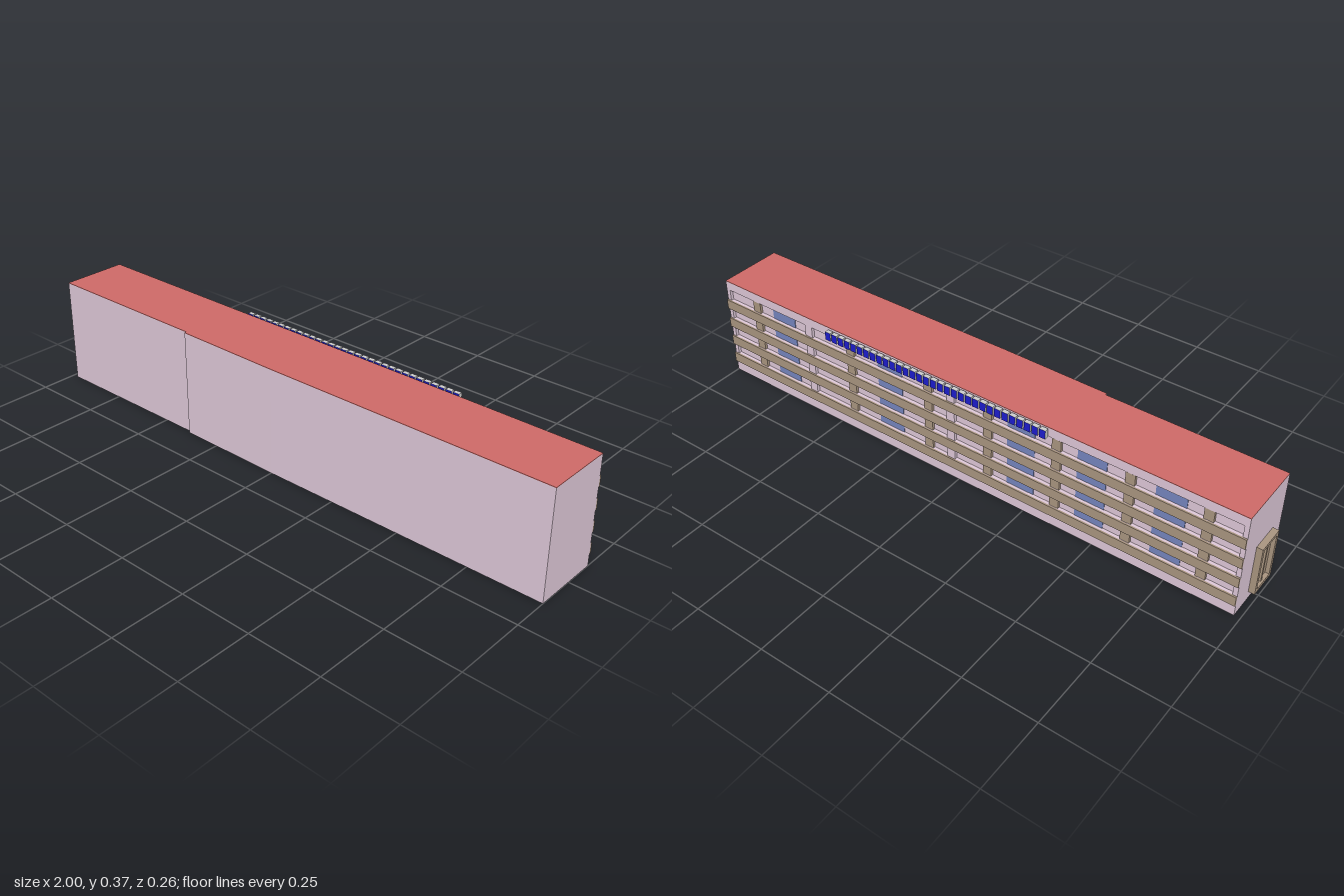
import * as THREE from 'three';

const mat = (color, side = THREE.FrontSide) => new THREE.MeshStandardMaterial({ color, side, flatShading: true });
const pink = mat(0xdcc6d6), red = mat(0xcc6966), brown = mat(0xa8947f);
const glass = mat(0x7484bc), blue = mat(0x1c1ccc), grey = mat(0xcccccc);

// Three building sections, each slightly out of line with the next
const BACK = [[-0.98, -0.112], [0.03, -0.11], [0.62, -0.107], [1, -0.104]];
const FRONT = [[1, 0.129], [0, 0.133], [-0.38, 0.129], [-0.38, 0.121], [-0.98, 0.12]];
const RECESS = 0.011;
const FLOOR = 0.0735;

// z of the rear facade at a given x
function backZ(x) {
  for (let i = 0; i < BACK.length - 1; i++) {
    const [x0, z0] = BACK[i], [x1, z1] = BACK[i + 1];
    if (x <= x1) return z0 + (z1 - z0) * (x - x0) / (x1 - x0);
  }
  return BACK[BACK.length - 1][1];
}

function add(parent, name, geometry, material) {
  const mesh = new THREE.Mesh(geometry, material);
  mesh.name = name;
  parent.add(mesh);
  return mesh;
}

function box(parent, name, material, x0, x1, y0, y1, z0, z1) {
  const g = new THREE.BoxGeometry(x1 - x0, y1 - y0, z1 - z0);
  g.translate((x0 + x1) / 2, (y0 + y1) / 2, (z0 + z1) / 2);
  return add(parent, name, g, material);
}

// Box that follows the rear facade; z0 and z1 are measured from the facade
function facadeBox(parent, name, material, x0, x1, y0, y1, z0, z1) {
  const mesh = box(parent, name, material, x0, x1, y0, y1, z0, z1);
  const p = mesh.geometry.attributes.position;
  for (let i = 0; i < p.count; i++) p.setZ(i, p.getZ(i) + backZ(p.getX(i)));
  mesh.geometry.computeVertexNormals();
  return mesh;
}

// Plan outline extruded upwards
function planPrism(inset, y0, y1) {
  const pts = [...BACK.map(([x, z]) => [x, z + inset]), ...FRONT];
  const shape = new THREE.Shape(pts.map(([x, z]) => new THREE.Vector2(x, -z)));
  const g = new THREE.ExtrudeGeometry(shape, { depth: y1 - y0, bevelEnabled: false });
  return g.rotateX(-Math.PI / 2).translate(0, y0, 0);
}

function buildFacade() {
  const facade = new THREE.Group();
  facade.name = 'rearFacade';
  for (let s = 0; s < 3; s++) {
    const x0 = BACK[s][0], x1 = BACK[s + 1][0];
    // End piers of each section
    facadeBox(facade, 'pier', pink, x0, x0 + 0.015, 0, 0.367, 0, RECESS);
    facadeBox(facade, 'pier', pink, x1 - 0.015, x1, 0, 0.367, 0, RECESS);
    // Spandrels between the window strips
    const a = x0 + 0.015, b = x1 - 0.015;
    facadeBox(facade, 'plinth', pink, a, b, 0, 0.075, 0, RECESS);
    for (let f = 1; f < 4; f++)
      facadeBox(facade, 'spandrel', pink, a, b, 0.04 + f * FLOOR, 0.075 + f * FLOOR, 0, RECESS);
    facadeBox(facade, 'parapet', pink, a, b, 0.336, 0.367, 0, RECESS);
    // Projecting sill bands
    for (let f = 0; f < 4; f++)
      facadeBox(facade, 'sillBand', brown, x0, x1, 0.04 + f * FLOOR, 0.075 + f * FLOOR, -0.006, 0);
  }
  for (let f = 0; f < 4; f++) {
    const y0 = 0.075 + f * FLOOR, y1 = y0 + 0.0385;
    // Wall columns
    for (const x of [0.86, 0.44, 0.12, -0.11, -0.36, -0.61, -0.86])
      facadeBox(facade, 'column', brown, x - 0.016, x + 0.016, y0, y1, 0.002, RECESS);
    // Windows
    for (const x of [0.74, 0.28, -0.23, -0.48, -0.74])
      facadeBox(facade, 'window', glass, x - 0.05, x + 0.05, y0, y1, RECESS - 0.002, RECESS);
  }
  return facade;
}

// Row of plain raised blocks with coloured faces
function buildSign() {
  const sign = new THREE.Group();
  sign.name = 'signBlocks';
  const faces = [grey, grey, grey, grey, blue, blue];
  const n = 32, step = 0.86 / n;
  for (let i = 0; i < n; i++) {
    const x = -0.335 + i * step;
    box(sign, 'signBlock', faces, x, x + step * 0.8, 0.339, 0.369, -0.132, -0.117);
  }
  return sign;
}

function buildDoor() {
  const door = new THREE.Group();
  door.name = 'endDoor';
  const z0 = -0.033, z1 = 0.067, y0 = 0.03, y1 = 0.205, t = 0.012;
  box(door, 'jamb', brown, -1, -0.98, y0, y1, z0, z0 + t);
  box(door, 'jamb', brown, -1, -0.98, y0, y1, z1 - t, z1);
  box(door, 'lintel', brown, -1, -0.98, y1 - t, y1, z0 + t, z1 - t);
  box(door, 'threshold', brown, -1, -0.98, y0, y0 + t, z0 + t, z1 - t);
  box(door, 'doorLeaf', brown, -0.987, -0.98, y0 + t, y1 - t, z0 + t, z1 - t);
  box(door, 'mullion', brown, -0.994, -0.987, y0 + t, y1 - t, 0.013, 0.021);
  return door;
}

export function createModel() {
  const model = new THREE.Group();
  model.name = 'longBuilding';
  add(model, 'mainBlock', planPrism(RECESS, 0, 0.367), pink);
  add(model, 'roof', planPrism(0, 0.367, 0.369), red);
  model.add(buildFacade(), buildSign(), buildDoor());
  return model;
}
